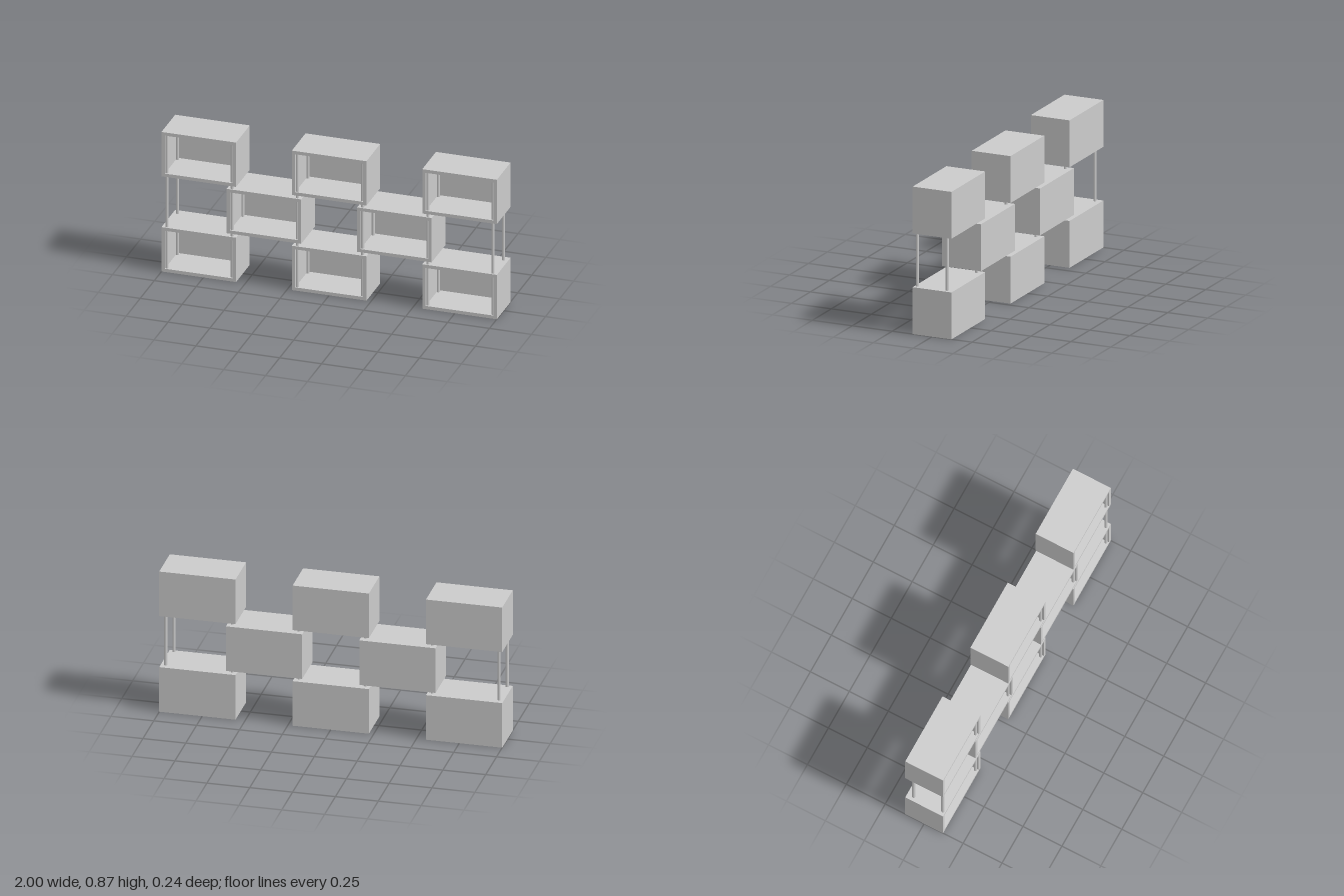
import * as THREE from 'three';

const W = 0.445, H = 0.277, D = 0.243, WALL = 0.02;
const PITCH = 0.389, LEVEL = 0.297;

function rect(target, w, h) {
  target.moveTo(-w / 2, -h / 2);
  target.lineTo(w / 2, -h / 2);
  target.lineTo(w / 2, h / 2);
  target.lineTo(-w / 2, h / 2);
  target.closePath();
  return target;
}

export function createModel() {
  const group = new THREE.Group();
  const material = new THREE.MeshStandardMaterial({ color: 0xcccccc });

  // Open-fronted box: extruded frame plus back panel
  const outline = rect(new THREE.Shape(), W, H);
  outline.holes.push(rect(new THREE.Path(), W - 2 * WALL, H - 2 * WALL));
  const frameGeo = new THREE.ExtrudeGeometry(outline, { depth: D - WALL, bevelEnabled: false });
  frameGeo.translate(0, 0, -D / 2 + WALL);
  const backGeo = new THREE.BoxGeometry(W, H, WALL);
  backGeo.translate(0, 0, -D / 2 + WALL / 2);

  function addBox(column, row) {
    const box = new THREE.Group();
    box.name = 'shelfBox';
    const frame = new THREE.Mesh(frameGeo, material);
    frame.name = 'boxFrame';
    const back = new THREE.Mesh(backGeo, material);
    back.name = 'backPanel';
    box.add(frame, back);
    box.position.set(column * PITCH, H / 2 + row * LEVEL, 0);
    group.add(box);
  }

  // Staggered rows: three boxes, two boxes, three boxes
  [[-2, 0, 2], [-1, 1], [-2, 0, 2]].forEach((columns, row) => {
    for (const column of columns) addBox(column, row);
  });

  // Round posts running through the boxes from bottom floor to top ceiling
  const top = 2 * LEVEL + H - WALL;
  const postGeo = new THREE.CylinderGeometry(0.009, 0.009, top - WALL, 24);
  for (let i = 0; i < 6; i++) {
    for (const z of [0.105, -0.082]) {
      const post = new THREE.Mesh(postGeo, material);
      post.name = z > 0 ? 'frontPost' : 'backPost';
      post.position.set((i - 2.5) * PITCH, (top + WALL) / 2, z);
      group.add(post);
    }
  }
  return group;
}
